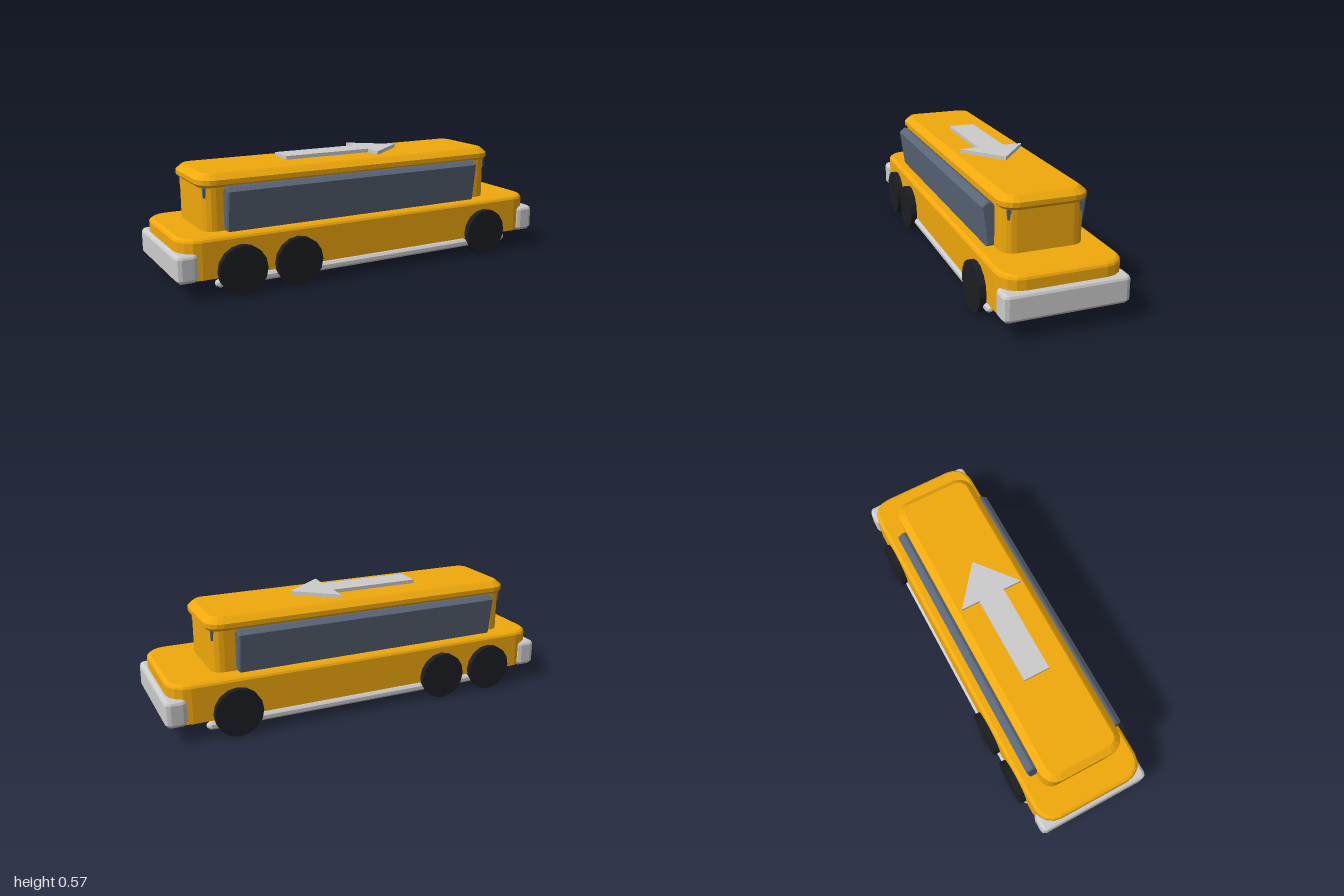
import * as THREE from 'three';

const paint = (color) => new THREE.MeshStandardMaterial({ color, flatShading: true });
const yellow = paint(0xf0a80c);
const slate = paint(0x5a6678);
const black = paint(0x1c1e22);
const chrome = paint(0xdcdde0);
const grey = paint(0xcccccc);

// Rounded-rectangle slab stacked from [inset, y] layers, bottom to top.
function slab(x0, x1, halfZ, radius, layers, steps = 4) {
  const cx = (x0 + x1) / 2, hx = (x1 - x0) / 2;
  const n = 4 * (steps + 1);
  const pos = [], index = [];
  for (const [inset, y] of layers) {
    const r = Math.max(radius - inset, 0.003);
    for (let c = 0; c < 4; c++) {
      const sx = c === 0 || c === 3 ? 1 : -1, sz = c < 2 ? 1 : -1;
      for (let i = 0; i <= steps; i++) {
        const a = (c + i / steps) * Math.PI / 2;
        pos.push(cx + sx * (hx - inset - r) + r * Math.cos(a), y,
          sz * (halfZ - inset - r) + r * Math.sin(a));
      }
    }
  }
  for (let l = 0; l < layers.length - 1; l++) {
    for (let i = 0; i < n; i++) {
      const a = l * n + i, b = l * n + (i + 1) % n;
      index.push(a, a + n, b, b, a + n, b + n);
    }
  }
  const top = (layers.length - 1) * n;
  for (let i = 1; i < n - 1; i++) {
    index.push(0, i, i + 1, top, top + i + 1, top + i);
  }
  const geo = new THREE.BufferGeometry();
  geo.setAttribute('position', new THREE.Float32BufferAttribute(pos, 3));
  geo.setIndex(index);
  geo.computeVertexNormals();
  return geo;
}

// Extrudes a [z, y] outline along x from x0 to x1; side mirrors it in z.
function alongX(outline, side, x0, x1, bevel = 0) {
  const shape = new THREE.Shape(outline.map(([z, y]) => new THREE.Vector2(-side * z, y)));
  const geo = new THREE.ExtrudeGeometry(shape, {
    depth: x1 - x0 - 2 * bevel, bevelEnabled: bevel > 0,
    bevelSize: bevel, bevelThickness: bevel, bevelOffset: -bevel, bevelSegments: 1,
  });
  return geo.rotateY(Math.PI / 2).translate(x0 + bevel, 0, 0);
}

export function createModel() {
  const model = new THREE.Group();
  const add = (name, geo, material) => {
    const mesh = new THREE.Mesh(geo, material);
    mesh.name = name;
    model.add(mesh);
    return mesh;
  };

  // Lower body, cabin and overhanging roof
  add('body', slab(-0.98, 0.975, 0.285, 0.1,
    [[0, 0.09], [0, 0.262], [0.005, 0.272], [0.017, 0.28]]), yellow);
  add('cabin', slab(-0.835, 0.75, 0.195, 0.06, [[0, 0.275], [0, 0.485]]), yellow);
  add('roof', slab(-0.855, 0.77, 0.21, 0.08,
    [[0.02, 0.477], [0, 0.495], [0, 0.517], [0.024, 0.538], [0.034, 0.545]]), yellow);

  // Direction arrow hovering just above the roof
  const arrow = new THREE.Shape([
    [-0.37, -0.067], [0.085, -0.067], [0.085, -0.163], [0.287, 0],
    [0.085, 0.163], [0.085, 0.067], [-0.37, 0.067],
  ].map(([x, y]) => new THREE.Vector2(x, y)));
  add('roofArrow', new THREE.ExtrudeGeometry(arrow, { depth: 0.018, bevelEnabled: false })
    .rotateX(-Math.PI / 2).translate(0, 0.553, 0), grey);

  // Bumpers
  for (const [name, x0, x1] of [['frontBumper', 0.895, 1], ['rearBumper', -1, -0.895]]) {
    add(name, slab(x0, x1, 0.293, 0.025,
      [[0.016, 0.085], [0, 0.102], [0, 0.198], [0.005, 0.208], [0.016, 0.215]], 2), chrome);
  }

  const windowOutline = [[0.185, 0.28], [0.231, 0.28], [0.256, 0.468],
    [0.233, 0.488], [0.222, 0.491], [0.21, 0.486], [0.185, 0.465]];
  const trimOutline = [[0.178, 0.481], [0.145, 0.481], [0.15, 0.465],
    [0.163, 0.46], [0.165, 0.434], [0.175, 0.434]];
  const railProfile = [[0, -0.825], [0.012, -0.82], [0.021, -0.805],
    [0.021, 0.795], [0.012, 0.81], [0, 0.815]].map(([r, x]) => new THREE.Vector2(r, x));

  for (const side of [1, -1]) {
    const label = side > 0 ? 'Left' : 'Right';

    // Leaning window panel and the small trim tips at the cabin corners
    add('window' + label, alongX(windowOutline, side, -0.742, 0.637, 0.008), slate);
    add('frontTrim' + label, alongX(trimOutline, side, 0.7, 0.744), slate);
    add('rearTrim' + label, alongX(trimOutline, side, -0.829, -0.785), slate);

    // Side rail under the body
    add('sideRail' + label, new THREE.LatheGeometry(railProfile, 8)
      .rotateY(Math.PI / 8).rotateZ(-Math.PI / 2).translate(0, 0.065, side * 0.276), chrome);

    // Two rear wheels and one front wheel
    [-0.698, -0.418, 0.665].forEach((x, i) => {
      const wheel = add(['rearWheel', 'middleWheel', 'frontWheel'][i] + label,
        new THREE.CylinderGeometry(0.117, 0.117, 0.094, 16).rotateX(Math.PI / 2), black);
      wheel.position.set(x, 0.117, side * 0.269);
    });
  }
  return model;
}
